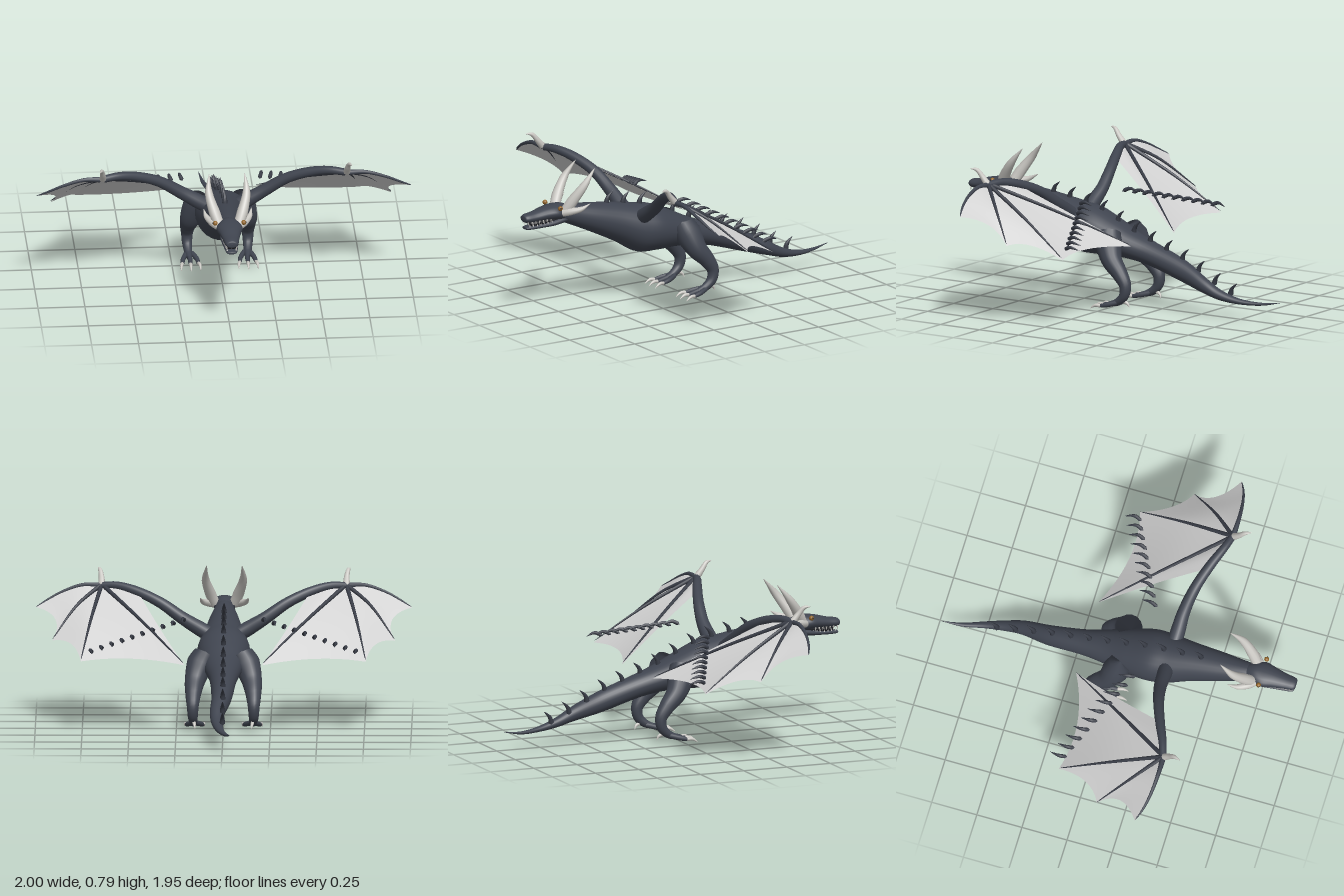
import * as THREE from 'three';

const mat = (name, color, side = THREE.FrontSide) => {
  const m = new THREE.MeshStandardMaterial({ color, side });
  m.name = name;
  return m;
};

// Body sections: z, centre x, centre y, half width, half height
const BODY = [
  [0.76, 0, 0.55, 0.045, 0.04], [0.68, 0, 0.532, 0.056, 0.057], [0.55, 0, 0.495, 0.08, 0.08],
  [0.4, 0, 0.447, 0.105, 0.107], [0.27, 0, 0.398, 0.133, 0.133], [0.17, 0, 0.385, 0.141, 0.127],
  [0.05, 0, 0.36, 0.122, 0.1], [-0.06, 0, 0.33, 0.098, 0.077], [-0.18, 0, 0.296, 0.073, 0.065],
  [-0.4, 0.008, 0.222, 0.053, 0.058], [-0.55, 0.03, 0.163, 0.038, 0.04], [-0.64, 0.028, 0.126, 0.03, 0.027],
  [-0.75, 0.01, 0.101, 0.02, 0.015], [-0.87, -0.022, 0.095, 0.011, 0.008], [-0.975, -0.04, 0.11, 0.001, 0.001],
];
const SKULL = [
  [0.975, 0, 0.549, 0.001, 0.001], [0.973, 0, 0.549, 0.026, 0.016], [0.96, 0, 0.549, 0.035, 0.023],
  [0.91, 0, 0.552, 0.043, 0.028], [0.85, 0, 0.56, 0.056, 0.035], [0.79, 0, 0.563, 0.07, 0.041],
  [0.74, 0, 0.558, 0.056, 0.046], [0.68, 0, 0.55, 0.03, 0.03],
];
const JAW = [
  [0.967, 0, 0.497, 0.001, 0.001], [0.965, 0, 0.497, 0.022, 0.007], [0.95, 0, 0.497, 0.029, 0.011],
  [0.87, 0, 0.5, 0.04, 0.014], [0.79, 0, 0.508, 0.05, 0.02], [0.72, 0, 0.52, 0.045, 0.025],
];
const MOUTH = [
  [0.945, 0, 0.516, 0.001, 0.001], [0.93, 0, 0.516, 0.024, 0.013], [0.85, 0, 0.52, 0.034, 0.016],
  [0.74, 0, 0.53, 0.036, 0.018],
];

// Smooth skin over elliptical sections listed from front to back
function loft(stations, rings, sides) {
  const mid = new THREE.CatmullRomCurve3(stations.map(s => new THREE.Vector3(s[1], s[2], s[0])));
  const rad = new THREE.CatmullRomCurve3(stations.map(s => new THREE.Vector3(s[3], s[4], s[0])));
  const pos = [], idx = [];
  for (let i = 0; i <= rings; i++) {
    const c = mid.getPoint(i / rings), r = rad.getPoint(i / rings);
    for (let j = 0; j < sides; j++) {
      const a = (j / sides) * Math.PI * 2;
      pos.push(c.x + Math.max(r.x, 0) * Math.cos(a), c.y + Math.max(r.y, 0) * Math.sin(a), c.z);
      if (i === rings) continue;
      const p = i * sides + j, q = i * sides + (j + 1) % sides;
      idx.push(p, p + sides, q, q, p + sides, q + sides);
    }
  }
  const g = new THREE.BufferGeometry();
  g.setAttribute('position', new THREE.Float32BufferAttribute(pos, 3));
  g.setIndex(idx);
  g.computeVertexNormals();
  return g;
}

const curveOf = (pts, s = 1) => new THREE.CatmullRomCurve3(pts.map(p => new THREE.Vector3(p[0] * s, p[1], p[2])));

// Tube along a curve whose radius follows the list, with closed ends
function taper(curve, radii, rings = 16, sides = 10) {
  const g = new THREE.TubeGeometry(curve, rings, 1, sides, false);
  const pos = g.attributes.position, v = new THREE.Vector3();
  for (let i = 0; i <= rings; i++) {
    const c = curve.getPointAt(i / rings);
    const t = curve.getUtoTmapping(i / rings) * (radii.length - 1);
    const k = Math.min(Math.floor(t), radii.length - 2);
    const r = i === 0 || i === rings ? 0 : THREE.MathUtils.lerp(radii[k], radii[k + 1], t - k);
    for (let j = 0; j <= sides; j++) {
      const n = i * (sides + 1) + j;
      v.fromBufferAttribute(pos, n).sub(c).multiplyScalar(r).add(c);
      pos.setXYZ(n, v.x, v.y, v.z);
    }
  }
  return g;
}

// Membrane stretched between two curves that start together, with a scalloped outer edge
function panel(ca, cb, scallop, n = 12) {
  const pos = [], idx = [], A = ca.getPoint(1), B = cb.getPoint(1);
  const bow = scallop.clone().sub(A.clone().lerp(B, 0.5));
  for (let i = 0; i <= n; i++) for (let j = 0; j <= n; j++) {
    const u = i / n, v = j / n;
    const p = ca.getPoint(v).lerp(cb.getPoint(v), u).addScaledVector(bow, 4 * u * (1 - u) * v * v);
    pos.push(p.x, p.y, p.z);
    if (i < n && j < n) {
      const k = i * (n + 1) + j;
      idx.push(k, k + 1, k + n + 1, k + 1, k + n + 2, k + n + 1);
    }
  }
  const g = new THREE.BufferGeometry();
  g.setAttribute('position', new THREE.Float32BufferAttribute(pos, 3));
  g.setIndex(idx);
  g.computeVertexNormals();
  return g;
}

// Height of the back at a given z
function backAt(z) {
  const i = BODY.findIndex(s => s[0] <= z), a = BODY[i - 1], b = BODY[i], t = (a[0] - z) / (a[0] - b[0]);
  return THREE.MathUtils.lerp(a[2] + a[4], b[2] + b[4], t);
}

export function createModel() {
  const model = new THREE.Group();
  const hide = mat('slate hide', 0x3f444f), dark = mat('dark spine', 0x383c46), horn = mat('horn', 0xcac8c3);
  const skin = mat('wing membrane', 0xd2d2d2, THREE.DoubleSide);
  const amber = mat('amber eye', 0x94662a), black = mat('pupil and mouth', 0x1b1c21);
  const add = (parent, name, geo, m) => {
    const mesh = new THREE.Mesh(geo, m);
    mesh.name = name;
    parent.add(mesh);
    return mesh;
  };
  const group = name => {
    const g = new THREE.Group();
    g.name = name;
    model.add(g);
    return g;
  };

  add(model, 'body', loft(BODY, 90, 28), hide);
  const head = group('head');
  add(head, 'skull', loft(SKULL, 36, 20), hide);
  add(head, 'jaw', loft(JAW, 24, 16), hide);
  add(head, 'mouthInterior', loft(MOUTH, 16, 12), black);

  // Ridge of swept-back spines
  const ridge = group('backSpines');
  for (let i = 0; i < 12; i++) {
    const z = 0.44 - i * 0.103, y = backAt(z);
    const c = curveOf([[0, y - 0.015, z + 0.01], [0, y + 0.025, z], [0, y + 0.06, z - 0.035]]);
    add(ridge, 'backSpine', taper(c, [0.017, 0.011, 0.001], 8, 8), dark);
  }

  for (const s of [1, -1]) {
    const side = s > 0 ? 'left' : 'right';
    const tube = (parent, name, pts, radii, m, rings, sides) =>
      add(parent, name, taper(curveOf(pts, s), radii, rings, sides), m);

    // Horns, eyes and teeth
    tube(head, 'greatHorn', [[0.05, 0.56, 0.745], [0.075, 0.625, 0.71], [0.1, 0.71, 0.65], [0.094, 0.795, 0.58]],
      [0.028, 0.03, 0.021, 0.001], horn, 20, 12);
    tube(head, 'cheekHorn', [[0.05, 0.56, 0.765], [0.085, 0.572, 0.73], [0.115, 0.585, 0.68], [0.128, 0.612, 0.63]],
      [0.02, 0.021, 0.014, 0.001], horn, 16, 10);
    add(head, 'eye', new THREE.SphereGeometry(0.013, 14, 10), amber).position.set(s * 0.076, 0.595, 0.787);
    add(head, 'pupil', new THREE.SphereGeometry(0.005, 10, 8), black).position.set(s * 0.086, 0.597, 0.79);
    for (let i = 0; i < 7; i++) {
      const z = 0.825 + i * 0.022, x = s * (0.042 - i * 0.0026);
      const up = add(head, 'upperTooth', new THREE.ConeGeometry(0.005, 0.024, 6), horn);
      up.position.set(x, 0.522, z);
      up.rotation.x = Math.PI;
      add(head, 'lowerTooth', new THREE.ConeGeometry(0.004, 0.02, 6), horn).position.set(x * 0.9, 0.515, z - 0.011);
    }

    // Wing arm, thumb claw and finger bones
    const wing = group(side + 'Wing');
    const W = [0.65, 0.708, 0.43];
    tube(wing, 'wingArm', [[0.06, 0.46, 0.275], [0.13, 0.5, 0.28], [0.22, 0.555, 0.285], [0.34, 0.635, 0.312],
      [0.47, 0.69, 0.36], [0.57, 0.712, 0.402], [0.66, 0.708, 0.432]],
      [0.04, 0.04, 0.034, 0.029, 0.026, 0.022, 0.018], hide, 36, 14);
    tube(wing, 'thumbClaw', [W, [0.652, 0.75, 0.465], [0.66, 0.785, 0.495], [0.672, 0.79, 0.53]],
      [0.02, 0.015, 0.011, 0.001], horn, 14, 10);
    const bones = [
      [W, [0.75, 0.71, 0.432], [0.86, 0.675, 0.422], [0.94, 0.634, 0.402], [1.0, 0.6, 0.375]],
      [W, [0.78, 0.615, 0.295], [0.91, 0.455, 0.138]],
      [W, [0.705, 0.56, 0.16], [0.757, 0.38, -0.117]],
      [W, [0.43, 0.55, 0.125], [0.207, 0.37, -0.185]],
    ].map(p => curveOf(p, s));
    bones.forEach((c, i) => {
      const radii = i ? [0.012, 0.008, 0.002] : [0.016, 0.011, 0.008, 0.006, 0.002];
      // The inner bones ride on the upper side of the membrane
      add(wing, 'wingFinger', taper(c, radii, 24, 8), i ? dark : hide).position.y = i ? 0.007 : 0;
    });

    // Membrane panels between neighbouring bones and back to the arm
    const rear = curveOf([W, [0.56, 0.704, 0.393], [0.45, 0.675, 0.35]], s);
    const edges = [[0.895, 0.55, 0.262], [0.81, 0.45, 0.045], [0.49, 0.392, -0.095], [0.34, 0.53, 0.09]];
    edges.forEach((e, i) => add(wing, 'wingMembrane',
      panel(bones[i], bones[i + 1] || rear, new THREE.Vector3(e[0] * s, e[1], e[2])), skin));

    // Row of hooked, swept-back spines above the wing
    for (let i = 0; i < 10; i++) {
      const t = i / 9, x = 0.205 + 0.49 * t, y = 0.56 - 0.135 * t, z = 0.145 - 0.235 * t;
      tube(wing, 'wingSpine', [[x, y, z], [x + 0.012, y + 0.018, z - 0.04], [x + 0.016 - 0.016 * t, y + 0.004, z - 0.095]],
        [0.011, 0.01, 0.001], dark, 8, 7);
    }

    // Leg with three spread, clawed toes and a heel spur
    const leg = group(side + 'Leg');
    tube(leg, 'legBone', [[0.09, 0.41, 0.03], [0.122, 0.35, 0.01], [0.15, 0.27, -0.025], [0.16, 0.2, -0.085],
      [0.162, 0.14, -0.12], [0.162, 0.085, -0.112], [0.158, 0.047, -0.07], [0.155, 0.032, -0.025]],
      [0.06, 0.074, 0.056, 0.042, 0.032, 0.027, 0.021, 0.014], hide, 40, 16);
    for (const d of [-1, 0, 1]) {
      const x = 0.153 + d * 0.037, z = 0.02 - Math.abs(d) * 0.008;
      tube(leg, 'toe', [[0.155 + d * 0.01, 0.045, -0.08], [x, 0.03, -0.02], [x + d * 0.006, 0.02, z + 0.012]],
        [0.014, 0.013, 0.01], hide, 10, 8);
      tube(leg, 'toeClaw', [[x + d * 0.005, 0.021, z], [x + d * 0.012, 0.023, z + 0.032], [x + d * 0.015, 0.003, z + 0.064]],
        [0.01, 0.009, 0.001], horn, 10, 8);
    }
    tube(leg, 'heelClaw', [[0.157, 0.055, -0.105], [0.153, 0.042, -0.13], [0.15, 0.02, -0.14]],
      [0.011, 0.008, 0.001], horn, 8, 8);
  }
  return model;
}
